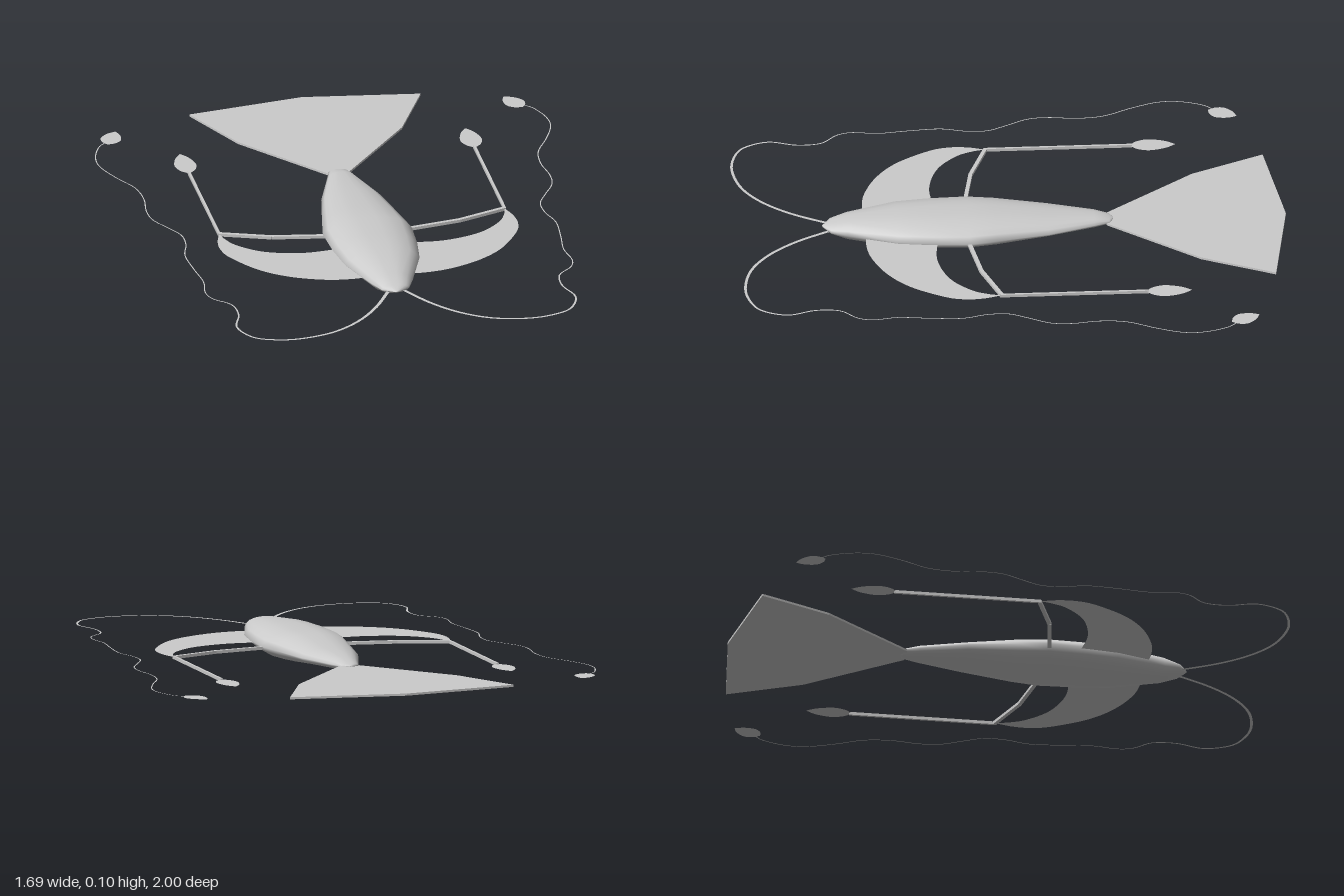
import * as THREE from 'three';

const Y = 0.052; // height of the flat fins and feelers
const solid = new THREE.MeshStandardMaterial({ color: 0xcccccc });
const flat = new THREE.MeshStandardMaterial({ color: 0xcccccc, flatShading: true });
const thin = new THREE.MeshStandardMaterial({ color: 0xcccccc, side: THREE.DoubleSide });

function add(parent, name, geometry, material) {
  const mesh = new THREE.Mesh(geometry, material);
  mesh.name = name;
  parent.add(mesh);
  return mesh;
}

const vec = ([x, z]) => new THREE.Vector2(x, -z);

// Flat sheet lying in the x-z plane
function sheet(shape) {
  return new THREE.ShapeGeometry(shape, 10).rotateX(-Math.PI / 2).translate(0, Y, 0);
}

// Pointed leaf from a tip, a base and a half width
function leaf(tip, base, half) {
  const t = vec(tip), b = vec(base);
  const d = b.clone().sub(t);
  const n = new THREE.Vector2(-d.y, d.x).normalize();
  const at = (f, w) => t.clone().addScaledVector(d, f).addScaledVector(n, w * half);
  const shape = new THREE.Shape();
  shape.moveTo(t.x, t.y);
  shape.splineThru([at(0.2, 0.6), at(0.45, 0.95), at(0.65, 1), at(0.86, 0.65), b]);
  shape.splineThru([at(0.86, -0.65), at(0.65, -1), at(0.45, -0.95), at(0.2, -0.6), t]);
  return sheet(shape);
}

// Flat tapering ribbon along a smooth path
function ribbon(points, w0, w1, steps) {
  const curve = new THREE.SplineCurve(points.map(vec));
  const left = [], right = [];
  for (let i = 0; i <= steps; i++) {
    const t = i / steps;
    const p = curve.getPoint(t), d = curve.getTangent(t);
    const w = Math.max(w1, w0 + (w1 - w0) * t * 2.5) / 2;
    left.push(new THREE.Vector2(p.x - d.y * w, p.y + d.x * w));
    right.unshift(new THREE.Vector2(p.x + d.y * w, p.y - d.x * w));
  }
  return sheet(new THREE.Shape([...left, ...right]));
}

// Square bar between two points in the x-z plane
function bar(a, b, size) {
  const dx = b[0] - a[0], dz = b[1] - a[1];
  return new THREE.BoxGeometry(size, 0.011, Math.hypot(dx, dz))
    .rotateY(Math.atan2(dx, dz))
    .translate((a[0] + b[0]) / 2, Y - 0.001, (a[1] + b[1]) / 2);
}

// Lofted body: each station is z, half width, top y, bottom y
function bodyGeometry() {
  const stations = [
    [-0.37, 0.005, 0.06, 0.05], [-0.355, 0.035, 0.066, 0.044], [-0.3, 0.053, 0.08, 0.036],
    [-0.13, 0.11, 0.09, 0.026], [0.06, 0.147, 0.108, 0.008], [0.16, 0.165, 0.11, 0.005],
    [0.3, 0.157, 0.11, 0.005], [0.42, 0.14, 0.108, 0.007], [0.6, 0.077, 0.091, 0.022],
    [0.66, 0.052, 0.073, 0.041], [0.69, 0.005, 0.06, 0.055],
  ];
  const half = [[1, 0], [0.88, 0.38], [0.74, 0.7], [0.45, 0.92], [0.2, 1],
    [-0.2, 1], [-0.45, 0.92], [-0.74, 0.7], [-0.88, 0.38]];
  const ring = [...half, ...half.map(([x, y]) => [-x, -y])];
  const n = ring.length, pos = [], idx = [];
  for (const [z, w, top, bottom] of stations) {
    const mid = 0.057;
    for (const [x, y] of ring) pos.push(x * w, mid + (y > 0 ? y * (top - mid) : y * (mid - bottom)), z);
  }
  for (let s = 0; s < stations.length - 1; s++) {
    for (let i = 0; i < n; i++) {
      const a = s * n + i, b = s * n + (i + 1) % n;
      idx.push(a, b, b + n, a, b + n, a + n);
    }
  }
  // End caps
  const last = (stations.length - 1) * n;
  for (let i = 1; i < n - 1; i++) idx.push(0, i + 1, i, last, last + i, last + i + 1);
  const g = new THREE.BufferGeometry();
  g.setAttribute('position', new THREE.Float32BufferAttribute(pos, 3));
  g.setIndex(idx);
  g.computeVertexNormals();
  return g;
}

// Everything that exists once per side, mirrored by s
function side(s) {
  const group = new THREE.Group();
  const m = ([x, z]) => [s * x, z];

  // Crescent fin
  const shape = new THREE.Shape();
  const tip = vec(m([0.53, 0.065]));
  shape.moveTo(tip.x, tip.y);
  shape.splineThru([[0.55, 0.13], [0.553, 0.2], [0.53, 0.275], [0.45, 0.395], [0.35, 0.475],
    [0.23, 0.525], [0.13, 0.538], [0.06, 0.53]].map(p => vec(m(p))));
  const root = vec(m([0.1, 0.27]));
  shape.lineTo(root.x, root.y);
  shape.splineThru([[0.16, 0.28], [0.25, 0.286], [0.34, 0.27], [0.42, 0.235], [0.49, 0.17],
    [0.52, 0.11], [0.53, 0.065]].map(p => vec(m(p))));
  add(group, 'sideFin', sheet(shape), thin);

  // Bent arm with a long trailing rod and its leaf
  const arm = [[0.14, 0.164], [0.165, 0.16], [0.35, 0.13], [0.532, 0.065]].map(m);
  for (let i = 0; i < 3; i++) add(group, 'arm', bar(arm[i], arm[i + 1], 0.014), flat);
  add(group, 'rod', bar(m([0.531, 0.07]), m([0.531, -0.47]), 0.009), flat);
  add(group, 'rodLeaf', leaf(m([0.531, -0.628]), m([0.531, -0.46]), 0.039), thin);

  // Wavy feeler and its leaf
  const path = [[0.025, 0.66], [0.1, 0.79], [0.19, 0.895], [0.3, 0.967], [0.43, 0.995], [0.53, 0.98],
    [0.595, 0.94], [0.63, 0.85], [0.602, 0.75], [0.61, 0.66], [0.665, 0.6], [0.682, 0.54], [0.67, 0.45],
    [0.682, 0.34], [0.69, 0.22], [0.668, 0.13], [0.667, 0.05], [0.7, -0.02], [0.742, -0.1], [0.75, -0.18],
    [0.738, -0.28], [0.75, -0.38], [0.8, -0.48], [0.838, -0.58], [0.838, -0.66], [0.81, -0.74],
    [0.78, -0.775]].map(m);
  add(group, 'feeler', ribbon(path, 0.013, 0.004, 130), thin);
  add(group, 'feelerLeaf', leaf(m([0.722, -0.862]), m([0.772, -0.76]), 0.037), thin);
  return group;
}

export function createModel() {
  const model = new THREE.Group();
  model.name = 'finnedSwimmer';
  add(model, 'body', bodyGeometry(), solid);

  // Fan-shaped tail plate
  const tail = new THREE.Shape([[0.038, -0.345], [0.305, -0.675], [0.43, -0.94], [0, -1],
    [-0.43, -0.94], [-0.305, -0.675], [-0.038, -0.345]].map(vec));
  const plate = new THREE.ExtrudeGeometry(tail, { depth: 0.008, bevelEnabled: false });
  add(model, 'tailFin', plate.rotateX(-Math.PI / 2).translate(0, Y - 0.004, 0), flat);

  for (const s of [1, -1]) {
    const half = side(s);
    half.name = s > 0 ? 'leftLimbs' : 'rightLimbs';
    model.add(half);
  }
  return model;
}
